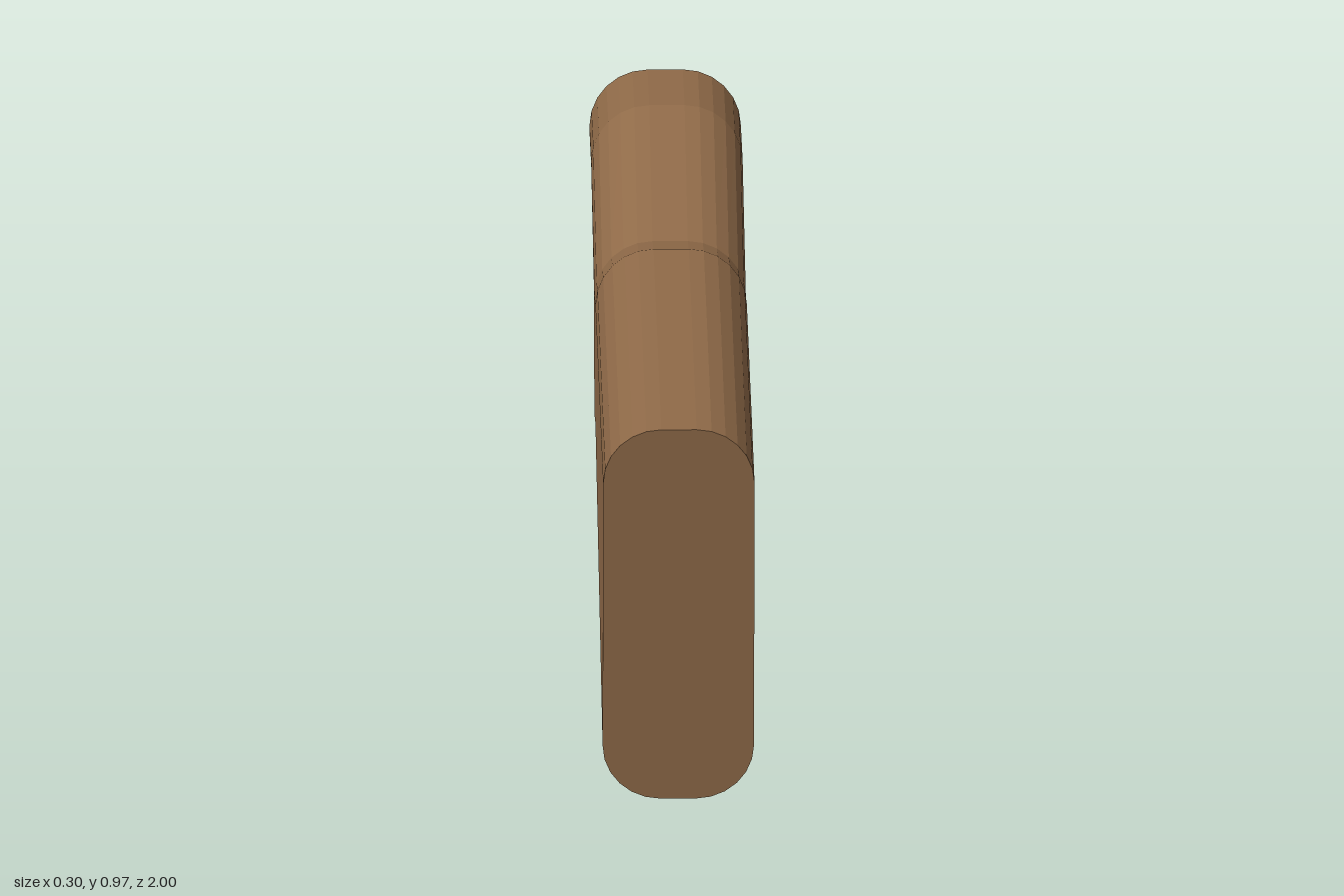
import * as THREE from 'three';

const HALF_WIDTH = 0.15, RADIUS = 0.115, CORNER_STEPS = 6;

// Stations from butt to grip end: [topZ, topY, bottomZ, bottomY]
const STATIONS = [
  [1.0, 0.79, 0.89, 0.0],
  [-0.13, 0.843, -0.13, 0.37],
  [-0.28, 0.817, -0.28, 0.347],
  [-0.28, 0.817, -0.44, 0.62],
  [-0.74, 0.967, -0.74, 0.727],
  [-1.0, 0.967, -1.0, 0.727],
];

// Rounded-rectangle ring, counter-clockwise seen from the front
function section([tz, ty, bz, by]) {
  const top = new THREE.Vector3(0, ty, tz), bottom = new THREE.Vector3(0, by, bz);
  const centre = top.clone().add(bottom).multiplyScalar(0.5);
  const half = top.distanceTo(bottom) / 2;
  const up = top.clone().sub(bottom).normalize();
  const ring = [];
  for (let corner = 0; corner < 4; corner++) {
    const sx = corner === 0 || corner === 3 ? 1 : -1;
    const sy = corner < 2 ? 1 : -1;
    for (let k = 0; k <= CORNER_STEPS; k++) {
      const a = (corner + k / CORNER_STEPS) * Math.PI / 2;
      const x = sx * (HALF_WIDTH - RADIUS) + RADIUS * Math.cos(a);
      const v = sy * (half - RADIUS) + RADIUS * Math.sin(a);
      const p = centre.clone().addScaledVector(up, v);
      p.x = x;
      ring.push(p);
    }
  }
  return { ring, centre };
}

// Skin the sections and close both ends
function loft(sections) {
  const pos = [];
  const tri = (...pts) => pts.forEach(p => pos.push(p.x, p.y, p.z));
  const n = sections[0].ring.length;
  const first = sections[0], last = sections[sections.length - 1];
  for (let i = 0; i < n; i++) {
    const j = (i + 1) % n;
    for (let s = 0; s < sections.length - 1; s++) {
      const f = sections[s].ring, b = sections[s + 1].ring;
      tri(f[i], b[i], f[j]);
      tri(f[j], b[i], b[j]);
    }
    tri(first.centre, first.ring[i], first.ring[j]);
    tri(last.centre, last.ring[j], last.ring[i]);
  }
  const geometry = new THREE.BufferGeometry();
  geometry.setAttribute('position', new THREE.Float32BufferAttribute(pos, 3));
  geometry.computeVertexNormals();
  return geometry;
}

export function createModel() {
  const group = new THREE.Group();
  group.name = 'woodenStock';
  const wood = new THREE.MeshStandardMaterial({ color: 0x8f6a48, flatShading: true });
  const stock = new THREE.Mesh(loft(STATIONS.map(section)), wood);
  stock.name = 'stock';
  group.add(stock);
  return group;
}
